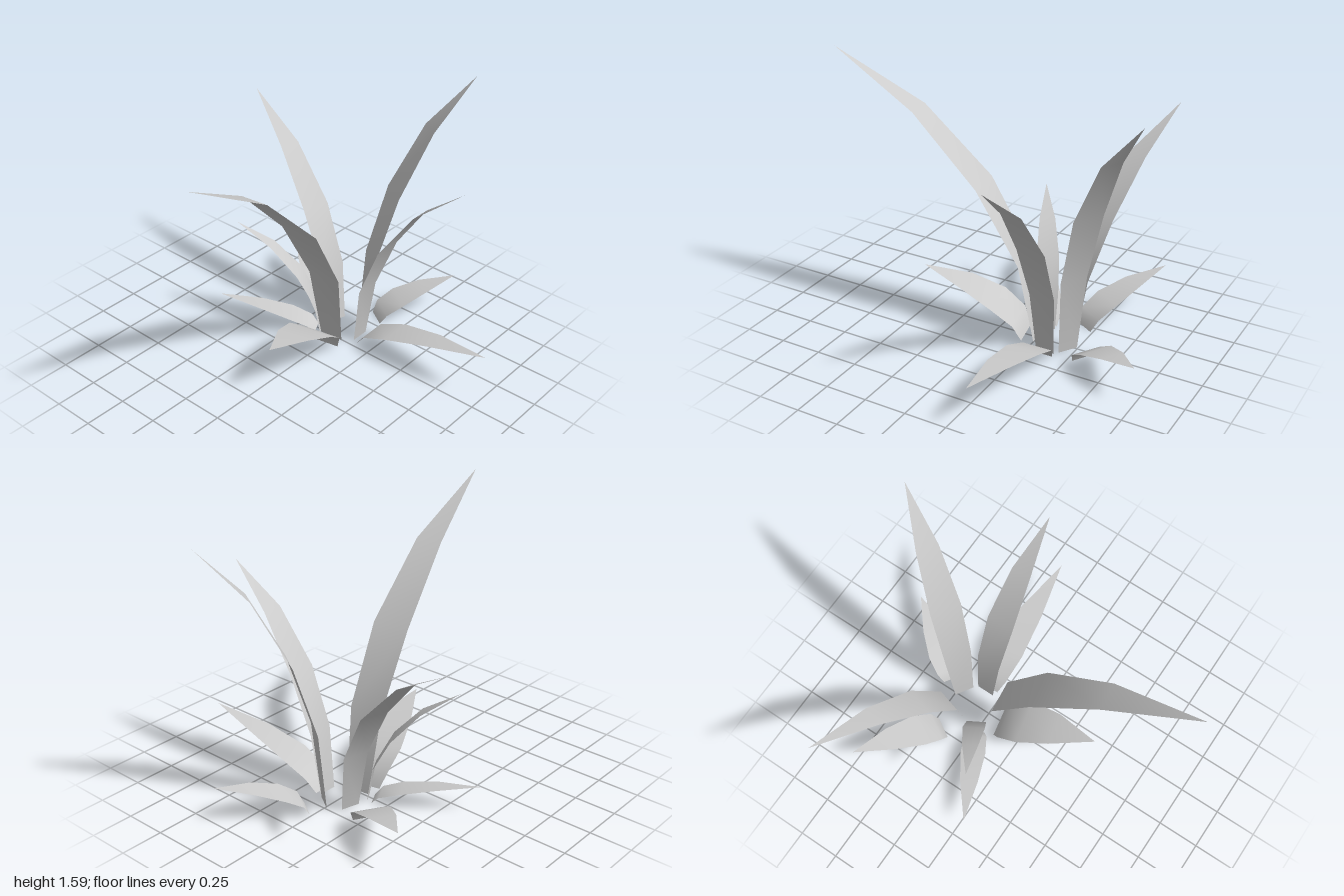
import * as THREE from 'three';

// Shared blade form, from root to tip: share of reach, share of height, share of width
const REACH = [0, 0.07, 0.27, 0.585, 1];
const RISE = [0, 0.3, 0.57, 0.815, 1];
const WIDTH = [0.65, 0.9, 1, 0.71, 0];

// Each blade: name, root [x, z], tip [x, y, z], greatest width
const BLADES = [
  ['frontTallBlade', [-0.018, -0.24], [0.125, 1.585, 0.99], 0.225],
  ['frontLowBlade', [-0.01, -0.165], [0.11, 0.345, 0.44], 0.28],
  ['backTallBlade', [0.037, -0.46], [0.385, 1.57, -0.995], 0.185],
  ['backLowBlade', [0.07, -0.565], [0.34, 0.22, -0.99], 0.2],
  ['leftTallBlade', [0.112, -0.352], [0.787, 1.24, -0.347], 0.17],
  ['leftLowBlade', [0.143, -0.35], [0.99, 0.27, -0.367], 0.2],
  ['rightBackTallBlade', [-0.1, -0.395], [-0.99, 1.195, -0.653], 0.17],
  ['rightBackLowBlade', [-0.235, -0.43], [-0.72, 0.26, -0.725], 0.2],
  ['rightFrontTallBlade', [-0.11, -0.255], [-0.55, 0.7, -0.005], 0.13],
  ['rightFrontLowBlade', [-0.14, -0.245], [-0.675, 0.155, 0.037], 0.15],
];

// A flat strip that arches outward from its root and narrows to a point
function bladeGeometry([rx, rz], [tx, ty, tz], width) {
  const dx = tx - rx, dz = tz - rz, len = Math.hypot(dx, dz);
  const sx = dz / len, sz = -dx / len; // sideways, level with the ground
  const positions = [], index = [];
  const last = REACH.length - 1;
  for (let i = 0; i < last; i++) {
    for (const side of [-0.5, 0.5]) {
      const w = side * width * WIDTH[i];
      positions.push(rx + dx * REACH[i] + sx * w, ty * RISE[i], rz + dz * REACH[i] + sz * w);
    }
    const a = 2 * i;
    if (i < last - 1) index.push(a, a + 2, a + 1, a + 1, a + 2, a + 3);
    else index.push(a, a + 2, a + 1);
  }
  positions.push(tx, ty, tz);
  const geometry = new THREE.BufferGeometry();
  geometry.setAttribute('position', new THREE.Float32BufferAttribute(positions, 3));
  geometry.setIndex(index);
  geometry.computeVertexNormals();
  return geometry;
}

export function createModel() {
  const plant = new THREE.Group();
  plant.name = 'grassTuft';
  const material = new THREE.MeshStandardMaterial({ color: 0xcccccc, side: THREE.DoubleSide });
  for (const [name, root, tip, width] of BLADES) {
    const blade = new THREE.Mesh(bladeGeometry(root, tip, width), material);
    blade.name = name;
    plant.add(blade);
  }
  return plant;
}
